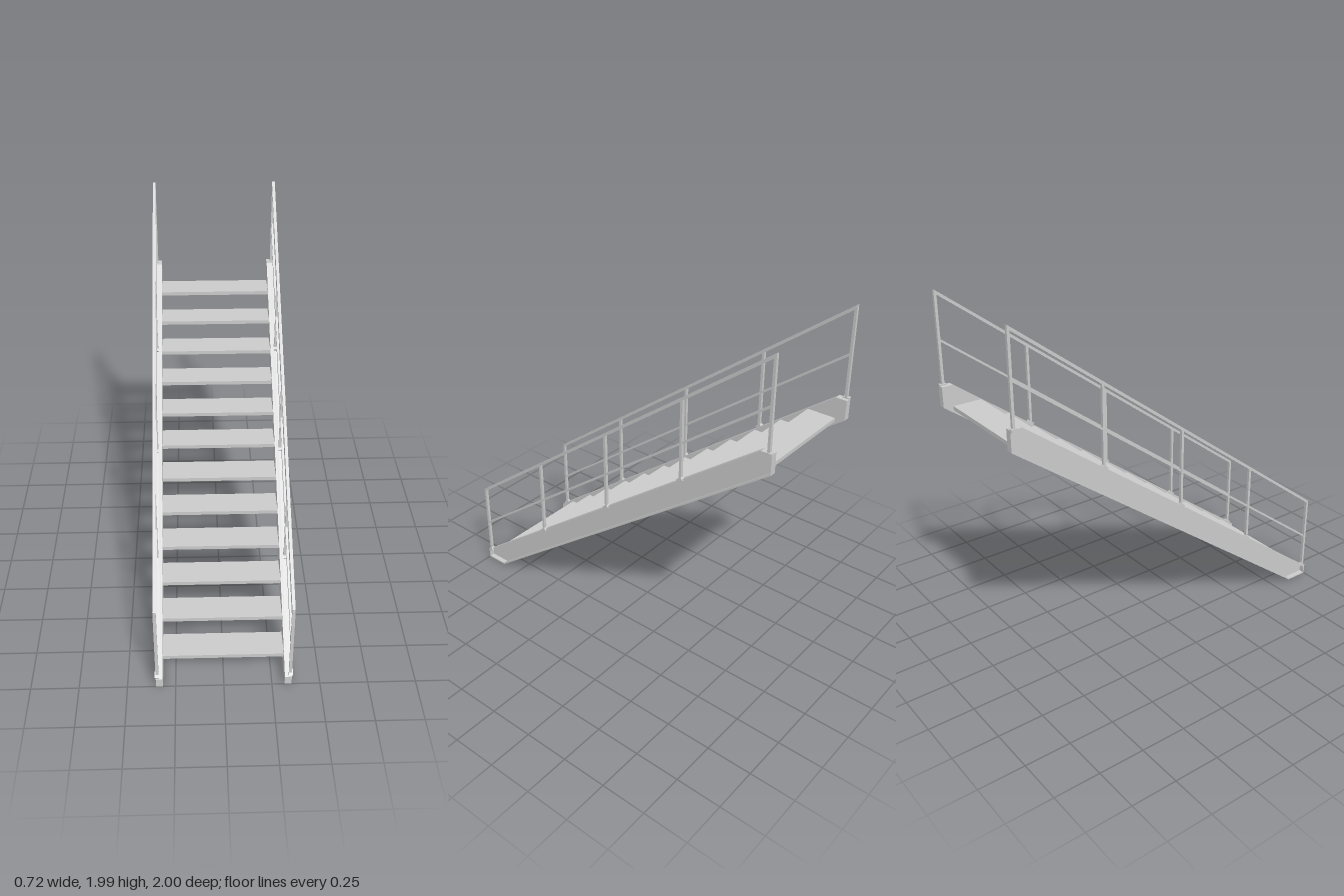
import * as THREE from 'three';

const material = new THREE.MeshStandardMaterial({ color: 0xcccccc, flatShading: true });
const SLOPE = 0.749; // rise per unit of run
const ANGLE = Math.atan(SLOPE);

// Extrude a side profile of [z, y] points across x0..x1, with an optional hole
function sidePlate(name, points, x0, x1, hole) {
  const toVectors = (list) => list.map(([z, y]) => new THREE.Vector2(z, y));
  const shape = new THREE.Shape(toVectors(points));
  if (hole) shape.holes.push(new THREE.Path(toVectors(hole)));
  const geometry = new THREE.ExtrudeGeometry(shape, { depth: x1 - x0, bevelEnabled: false });
  geometry.rotateY(-Math.PI / 2).translate(x1, 0, 0);
  const mesh = new THREE.Mesh(geometry, material);
  mesh.name = name;
  return mesh;
}

function box(name, w, h, d, x, y, z) {
  const mesh = new THREE.Mesh(new THREE.BoxGeometry(w, h, d), material);
  mesh.position.set(x, y, z);
  mesh.name = name;
  return mesh;
}

// Sloping bar with vertically cut ends; y is its centre height at z = 0
function slopingRail(name, y, thickness, x0, x1) {
  const end = 0.987, half = thickness / 2 / Math.cos(ANGLE);
  const low = y - SLOPE * end, high = y + SLOPE * end;
  return sidePlate(name, [
    [end, low - half], [end, low + half], [-end, high + half], [-end, high - half],
  ], x0, x1);
}

function buildSide(side) {
  const group = new THREE.Group();
  group.name = side > 0 ? 'leftSide' : 'rightSide';
  const placed = (mesh) => {
    // Mirror the geometry for the right side, keeping the faces outward
    if (side < 0) {
      const g = mesh.geometry;
      mesh.position.x *= -1;
      g.scale(-1, 1, 1);
      const index = g.index ? g.index.array : null;
      if (index) {
        for (let i = 0; i < index.length; i += 3) [index[i], index[i + 1]] = [index[i + 1], index[i]];
      } else {
        for (const a of Object.values(g.attributes)) {
          const n = a.itemSize;
          for (let i = 0; i < a.count; i += 3) for (let k = 0; k < n; k++) {
            const p = i * n + k, q = p + n;
            [a.array[p], a.array[q]] = [a.array[q], a.array[p]];
          }
        }
      }
      g.computeVertexNormals();
    }
    group.add(mesh);
  };

  // Channel stringer: thin inner web with a rim opening outward
  const outline = [[1, 0], [1, 0.052], [-0.94, 1.5], [-1, 1.5], [-1, 1.39], [0.87, 0]];
  const inset = [[0.993, 0.007], [0.993, 0.048], [-0.938, 1.493], [-0.993, 1.493], [-0.993, 1.395], [0.873, 0.007]];
  placed(sidePlate('stringerWeb', outline, 0.316, 0.324));
  placed(sidePlate('stringerFlange', outline, 0.324, 0.352, inset));

  // Handrail and middle rail
  placed(slopingRail('handrail', 1.242, 0.015, 0.337, 0.353));
  placed(slopingRail('middleRail', 1.003, 0.011, 0.339, 0.351));

  // Posts with their clamps on the stringer's top edge
  [0.981, 0.492, 0, -0.492, -0.981].forEach((z, i) => {
    const base = i === 4 ? 1.495 : 0.798 - SLOPE * z;
    const top = 1.24 - SLOPE * z;
    placed(box('post', 0.016, top - base, 0.014, 0.345, (top + base) / 2, z));
    const clamp = box('postClamp', 0.022, 0.018, 0.034, 0.347, i === 4 ? 1.497 : base + 0.002, z);
    if (i < 4) clamp.rotation.x = ANGLE;
    placed(clamp);
  });
  return group;
}

export function createModel() {
  const model = new THREE.Group();
  model.name = 'staircase';
  model.add(buildSide(1), buildSide(-1));

  // Twelve open treads between the stringers
  const treads = new THREE.Group();
  treads.name = 'treads';
  for (let i = 0; i < 12; i++) {
    treads.add(box('tread', 0.636, 0.021, 0.156, 0, 0.106 + i * 0.1155, 0.822 - i * 0.1537));
  }
  model.add(treads);
  return model;
}
